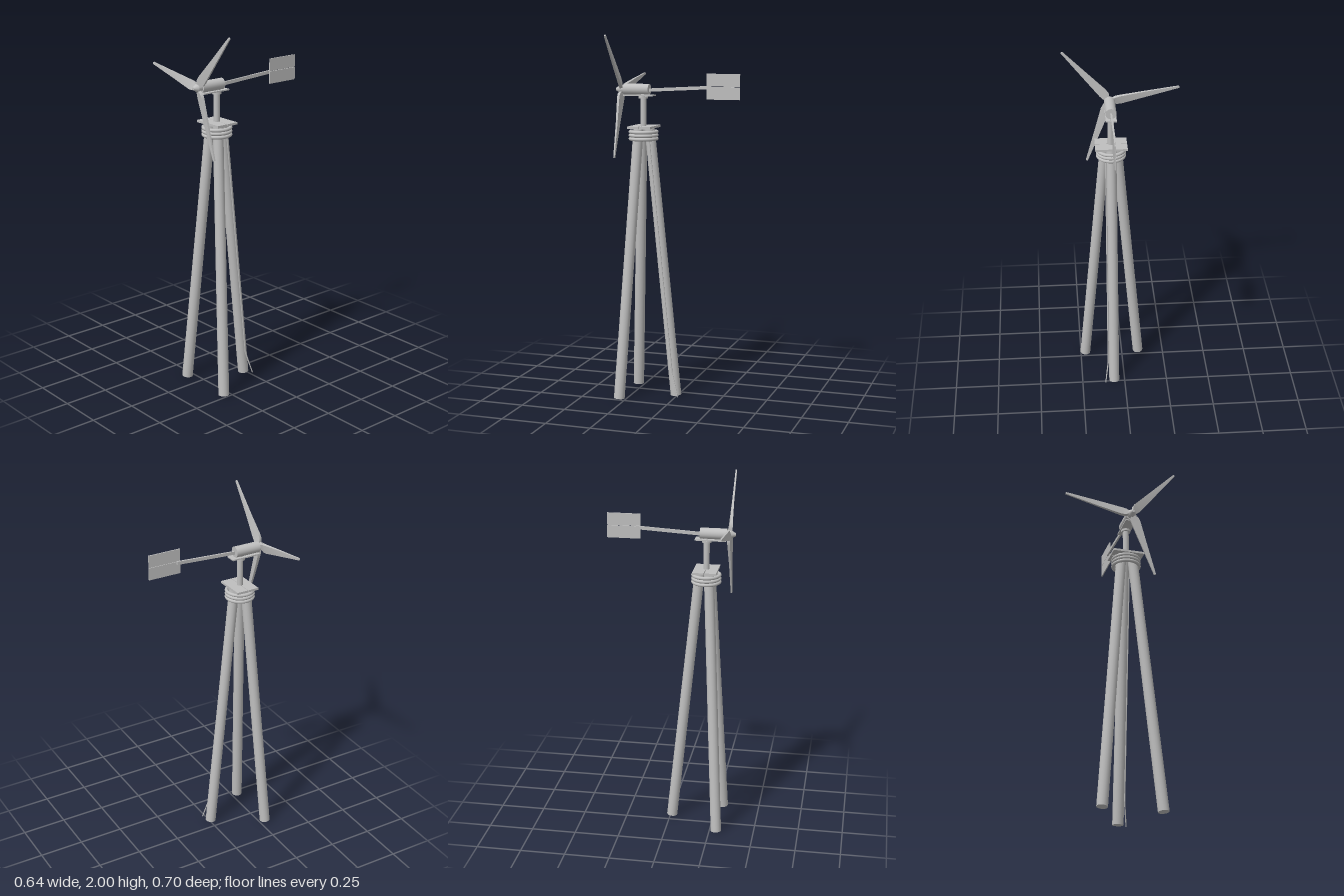
import * as THREE from 'three';

const metal = new THREE.MeshStandardMaterial({ color: 0xbfbfbf });
metal.name = 'light grey';

const CX = 0.062, CZ = 0.195; // tower axis
const HUB_Y = 1.704, ROTOR_Z = 0.319;

function add(parent, name, geometry, x = 0, y = 0, z = 0) {
  const mesh = new THREE.Mesh(geometry, metal);
  mesh.name = name;
  mesh.position.set(x, y, z);
  parent.add(mesh);
  return mesh;
}

// Cylinder running from point a to point b
function rod(parent, name, a, b, ra, rb = ra, sides = 16) {
  const dir = b.clone().sub(a);
  const mesh = add(parent, name, new THREE.CylinderGeometry(rb, ra, dir.length(), sides));
  mesh.position.copy(a).add(b).multiplyScalar(0.5);
  mesh.quaternion.setFromUnitVectors(new THREE.Vector3(0, 1, 0), dir.normalize());
  return mesh;
}

// Tapered, twisted blade along +y, shaped from a segmented box
function bladeGeometry() {
  const stations = [ // radius, width, thickness, twist, sideways shift
    [0.015, 0.022, 0.018, 0.3, 0],
    [0.035, 0.046, 0.017, 0.28, -0.003],
    [0.06, 0.05, 0.015, 0.22, -0.004],
    [0.2, 0.033, 0.011, 0.1, -0.002],
    [0.387, 0.011, 0.008, 0, 0],
  ];
  const n = stations.length - 1;
  const geo = new THREE.BoxGeometry(1, 1, 1, 1, n, 1);
  const pos = geo.attributes.position;
  for (let i = 0; i < pos.count; i++) {
    const [r, w, t, twist, shift] = stations[Math.round((pos.getY(i) + 0.5) * n)];
    const x = pos.getX(i) * w, z = pos.getZ(i) * t;
    const c = Math.cos(twist), s = Math.sin(twist);
    pos.setXYZ(i, x * c + z * s + shift, r, z * c - x * s);
  }
  geo.computeVertexNormals();
  return geo;
}

export function createModel() {
  const model = new THREE.Group();
  model.name = 'windTurbine';
  const V = (x, y, z) => new THREE.Vector3(x, y, z);

  // Tripod: one leg at the back, two at the front
  const legs = new THREE.Group();
  legs.name = 'tripod';
  model.add(legs);
  for (let i = 0; i < 3; i++) {
    const a = Math.PI + (i * Math.PI * 2) / 3;
    const at = (r, y) => V(CX + Math.sin(a) * r, y, CZ + Math.cos(a) * r);
    rod(legs, 'leg', at(0.186, 0.003), at(0.036, 1.49), 0.03, 0.028);
  }

  // Binding rings around the top of the legs
  for (const y of [1.436, 1.455, 1.474]) {
    const ring = add(model, 'bindingRing', new THREE.TorusGeometry(0.073, 0.0095, 10, 40), CX, y, CZ);
    ring.rotation.x = Math.PI / 2;
  }

  // Deck of two planks
  for (const z of [0.16, 0.227]) {
    add(model, 'deckPlank', new THREE.BoxGeometry(0.176, 0.012, 0.064), CX, 1.501, z);
  }

  // Mast with collar and nacelle base plate
  rod(model, 'mast', V(CX, 1.48, CZ), V(CX, 1.69, CZ), 0.017);
  rod(model, 'mastCollar', V(CX, 1.655, CZ), V(CX, 1.668, CZ), 0.026);
  add(model, 'basePlate', new THREE.BoxGeometry(0.06, 0.007, 0.17), CX, 1.673, 0.218);

  // Nacelle
  rod(model, 'nacelle', V(CX, HUB_Y + 0.001, 0.16), V(CX, HUB_Y + 0.001, 0.305), 0.03, 0.03, 24);

  // Rotor
  const rotor = new THREE.Group();
  rotor.name = 'rotor';
  rotor.position.set(CX, HUB_Y, ROTOR_Z);
  model.add(rotor);
  rod(rotor, 'hub', V(0, 0, -0.016), V(0, 0, 0.008), 0.023);
  rod(rotor, 'noseCone', V(0, 0, 0.008), V(0, 0, 0.033), 0.023, 0.008);
  const blade = bladeGeometry();
  for (let i = 0; i < 3; i++) {
    const mesh = add(rotor, 'blade', blade);
    mesh.rotation.z = THREE.MathUtils.degToRad(49.3 - 90 + i * 120);
  }

  // Tail boom, rising slightly to the rear
  const boom = add(model, 'tailBoom', new THREE.BoxGeometry(0.01, 0.018, 0.355), CX, 1.711, -0.013);
  boom.rotation.x = 0.055;

  // Tail fin of two panels, fixed to the side of the boom
  for (const y of [1.6905, 1.7605]) {
    add(model, 'tailFin', new THREE.BoxGeometry(0.006, 0.068, 0.184), 0.071, y, -0.26);
  }

  // Cable pipe along the back leg, kicked out at the foot
  rod(model, 'cablePipe', V(0.096, 0.13, 0.021), V(0.093, 1.43, 0.152), 0.004, 0.004, 8);
  rod(model, 'cableFoot', V(0.114, 0.004, -0.016), V(0.096, 0.13, 0.021), 0.003, 0.004, 8);

  return model;
}
